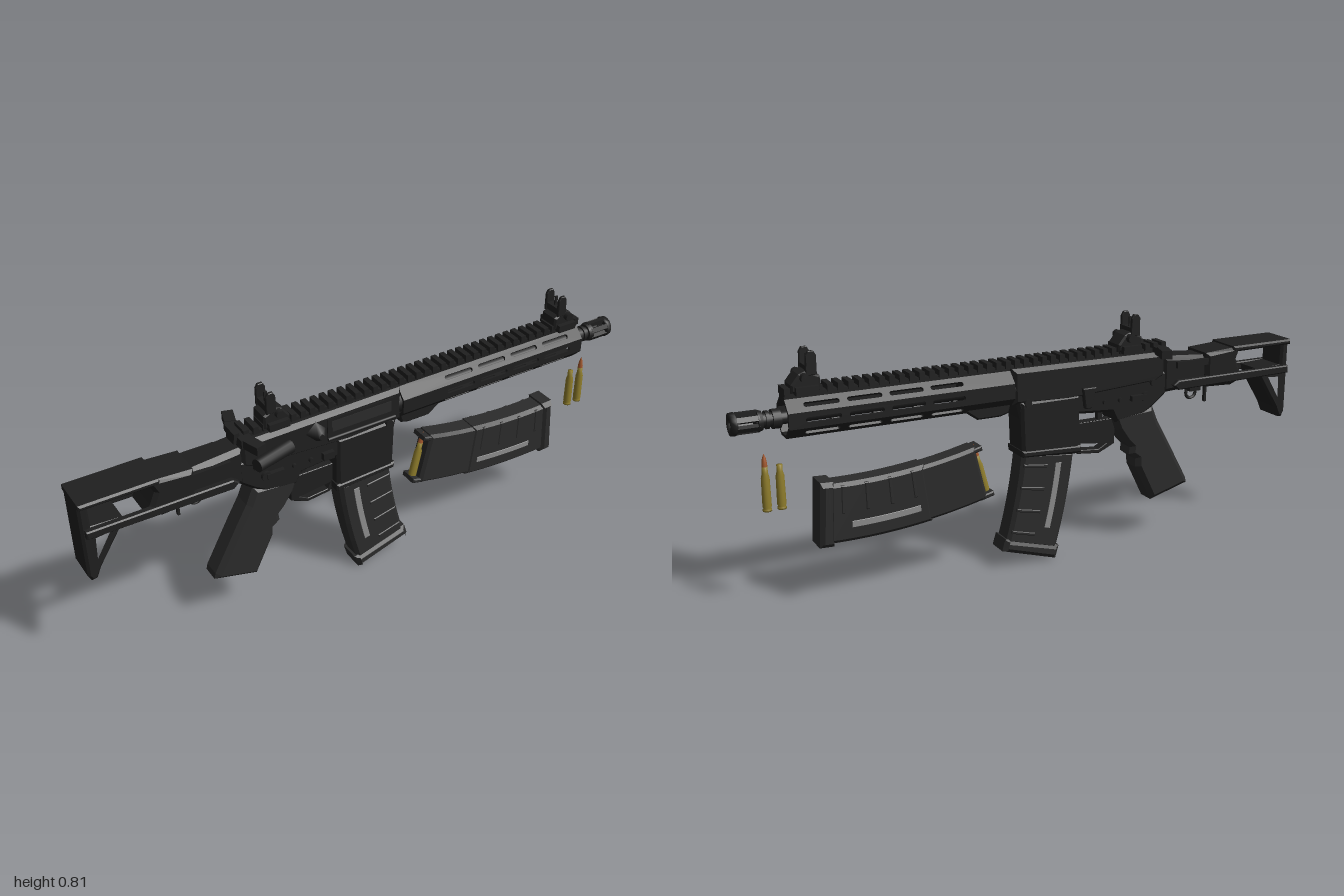
import * as THREE from 'three';

const mat = (color) => new THREE.MeshStandardMaterial({ color });
const METAL = mat(0x1f1f1f), POLY = mat(0x2b2b2b), WINDOW = mat(0x8c8c8c);
const BRASS = mat(0x8f7d2c), COPPER = mat(0xa0562c);
const AXIS_Y = 0.613; // bore height

const add = (parent, name, geo, material = METAL) => {
  const m = new THREE.Mesh(geo, material);
  m.name = name;
  parent.add(m);
  return m;
};
const toShape = (pts) => new THREE.Shape(pts.map(([x, y]) => new THREE.Vector2(x, y)));

// Side profile extruded symmetrically about z = cz, with chamfered edges
function plate(parent, name, pts, half, { bevel = 0.006, holes = [], cz = 0, material = METAL } = {}) {
  const s = toShape(pts);
  s.holes = holes.map(toShape);
  const g = new THREE.ExtrudeGeometry(s, {
    depth: 2 * (half - bevel), bevelEnabled: bevel > 0, bevelSize: bevel,
    bevelThickness: bevel, bevelOffset: -bevel, bevelSegments: 1,
  });
  g.translate(0, 0, cz - half + bevel);
  return add(parent, name, g, material);
}
function box(parent, name, x0, x1, y0, y1, z0, z1, material = METAL) {
  const g = new THREE.BoxGeometry(x1 - x0, y1 - y0, z1 - z0);
  g.translate((x0 + x1) / 2, (y0 + y1) / 2, (z0 + z1) / 2);
  return add(parent, name, g, material);
}
function rodX(parent, name, x0, x1, y, z, r0, r1 = r0, seg = 16) {
  const g = new THREE.CylinderGeometry(r1, r0, x1 - x0, seg);
  g.rotateZ(-Math.PI / 2).translate((x0 + x1) / 2, y, z);
  return add(parent, name, g);
}
function rodZ(parent, name, x, y, z0, z1, r, seg = 12) {
  const g = new THREE.CylinderGeometry(r, r, z1 - z0, seg);
  g.rotateX(Math.PI / 2).translate(x, y, (z0 + z1) / 2);
  return add(parent, name, g);
}
const lathe = (pts) => new THREE.LatheGeometry(pts.map(([r, y]) => new THREE.Vector2(r, y)), 14);

function cartridge(withTip) {
  const g = new THREE.Group();
  g.name = withTip ? 'cartridge' : 'emptyCase';
  add(g, 'case', lathe([[0, 0], [0.014, 0], [0.014, 0.006], [0.011, 0.009], [0.014, 0.014],
    [0.013, 0.105], [0.009, 0.12], [0.009, 0.14], [0, 0.14]]), BRASS);
  if (withTip) add(g, 'bullet', lathe([[0.009, 0.135], [0.0085, 0.148], [0.006, 0.165], [0, 0.182]]), COPPER);
  return g;
}

// Curved magazine: s runs down the arc, t runs rear to front
function magazine() {
  const g = new THREE.Group();
  g.name = 'magazine';
  const R = 1.85;
  const band = (s0, s1, t0, t1) => {
    const P = (s, t) => [R - (R - t) * Math.cos(s / R), -(R - t) * Math.sin(s / R)];
    const a = [], b = [];
    for (let i = 0; i <= 8; i++) {
      const s = s0 + (s1 - s0) * i / 8;
      a.push(P(s, t0));
      b.unshift(P(s, t1));
    }
    return [...a, ...b];
  };
  const part = (name, s0, s1, t0, t1, half, bevel, material = POLY) =>
    plate(g, name, band(s0, s1, t0, t1), half, { bevel, material });
  part('magBody', 0.01, 0.54, -0.093, 0.093, 0.038, 0.01);
  part('magSleeve', 0.2, 0.53, -0.097, 0.097, 0.042, 0.012);
  part('basePlate', 0.515, 0.56, -0.105, 0.105, 0.05, 0.014);
  part('window', 0.235, 0.46, -0.05, -0.029, 0.0435, 0.001, WINDOW);
  for (const s of [0.24, 0.32, 0.4, 0.48]) part('magRib', s, s + 0.012, 0.0, 0.09, 0.0445, 0.003);
  for (const t of [-0.085, 0.08]) part('feedLip', -0.015, 0.03, t - 0.008, t + 0.008, 0.034, 0.004);
  const c = cartridge(true);
  c.rotation.z = -Math.PI / 2;
  c.position.set(-0.09, 0, 0);
  g.add(c);
  return g;
}

// Octagonal handguard made of eight slotted panels
function handguard(parent) {
  const x0 = 0.1, x1 = 0.84, a = 0.06, w = a * Math.tan(Math.PI / 8);
  for (let i = 0; i < 8; i++) {
    const s = toShape([[x0, -w], [x1, -w], [x1, w], [x0, w]]);
    if (i !== 6) for (const x of [0.27, 0.405, 0.54, 0.675]) {
      const h = new THREE.Path();
      h.absarc(x + 0.105, 0, 0.008, -Math.PI / 2, Math.PI / 2);
      h.absarc(x + 0.01, 0, 0.008, Math.PI / 2, Math.PI * 1.5);
      h.closePath();
      s.holes.push(h);
    }
    const geo = new THREE.ExtrudeGeometry(s, { depth: 0.009, bevelEnabled: false, curveSegments: 5 });
    geo.translate(0, 0, a - 0.009);
    const m = add(parent, 'handguardPanel', geo);
    m.rotation.x = i * Math.PI / 4;
    m.position.y = AXIS_Y;
  }
  plate(parent, 'handguardClamp', [[0.1, 0.57], [0.11, 0.535], [0.14, 0.527], [0.22, 0.527], [0.26, 0.557], [0.26, 0.575]], 0.035);
  rodX(parent, 'barrelNut', 0.08, 0.26, AXIS_Y, 0, 0.048, 0.048, 8);
  rodX(parent, 'barrel', 0.1, 0.88, AXIS_Y, 0, 0.02);
}

function muzzle(parent) {
  for (const [x0, x1, r0, r1] of [[0.85, 0.875, 0.03, 0.03], [0.875, 0.925, 0.022, 0.022],
    [0.885, 0.895, 0.028, 0.028], [0.905, 0.92, 0.03, 0.034]])
    rodX(parent, 'muzzleCollar', x0, x1, AXIS_Y, 0, r0, r1);
  const pts = [[0.016, 0.98], [0.016, 1], [0.034, 1], [0.036, 0.985], [0.03, 0.98], [0.016, 0.98]];
  const ring = add(parent, 'muzzleRing', lathe(pts));
  ring.rotation.z = -Math.PI / 2;
  ring.position.y = AXIS_Y;
  ring.material = METAL.clone();
  ring.material.side = THREE.DoubleSide;
  for (let i = 0; i < 6; i++) {
    const prong = add(parent, 'muzzleProng', new THREE.BoxGeometry(0.07, 0.014, 0.016));
    const a = i * Math.PI / 3;
    prong.rotation.x = a;
    prong.position.set(0.95, AXIS_Y + 0.026 * Math.cos(a), 0.026 * Math.sin(a));
  }
}

function sight(parent, name, x) {
  const g = new THREE.Group();
  g.name = name;
  g.position.x = x;
  parent.add(g);
  plate(g, 'sightBase', [[-0.03, 0.69], [0.06, 0.69], [0.06, 0.715], [0.035, 0.745], [0.01, 0.755], [-0.03, 0.735]], 0.036);
  box(g, 'sightClamp', -0.02, 0.05, 0.685, 0.71, -0.052, 0.052);
  rodZ(g, 'sightPivot', 0.02, 0.735, -0.055, 0.052, 0.014);
  box(g, 'sightBridge', -0.018, 0.012, 0.745, 0.768, -0.038, 0.038);
  for (const k of [1, -1])
    plate(g, 'sightEar', [[-0.02, 0.74], [0.014, 0.74], [0.012, 0.8], [0.004, 0.813], [-0.012, 0.813], [-0.02, 0.8]],
      0.006, { cz: k * 0.032, bevel: 0.002 });
  box(g, 'sightPost', -0.008, 0.002, 0.76, 0.8, -0.003, 0.003);
}

function stock(parent) {
  plate(parent, 'buttPlate', [[-1, 0.665], [-0.97, 0.665], [-0.968, 0.575], [-0.87, 0.57], [-0.875, 0.545],
    [-0.955, 0.42], [-0.972, 0.382], [-0.99, 0.38], [-1, 0.4]], 0.056,
  { bevel: 0.008, holes: [[[-0.968, 0.54], [-0.905, 0.543], [-0.962, 0.445], [-0.972, 0.455]]] });
  plate(parent, 'stockTop', [[-1, 0.668], [-0.75, 0.668], [-0.75, 0.648], [-1, 0.65]], 0.068);
  plate(parent, 'stockBlock', [[-0.785, 0.664], [-0.64, 0.655], [-0.64, 0.535], [-0.75, 0.53], [-0.8, 0.55],
    [-0.785, 0.58], [-0.768, 0.62]], 0.066, { bevel: 0.012 });
  plate(parent, 'bufferHousing', [[-0.66, 0.645], [-0.47, 0.66], [-0.47, 0.53], [-0.66, 0.54]], 0.05, { bevel: 0.015 });
  for (const k of [1, -1]) {
    plate(parent, 'stockRail', [[-0.99, 0.575], [-0.52, 0.575], [-0.5, 0.56], [-0.52, 0.542], [-0.99, 0.548]], 0.012, { cz: k * 0.062, bevel: 0.004 });
    box(parent, 'upperRail', -0.68, -0.52, 0.615, 0.637, k > 0 ? 0.046 : -0.062, k > 0 ? 0.062 : -0.046);
  }
  box(parent, 'stockPin', -0.684, -0.676, 0.465, 0.54, -0.006, 0.006);
  box(parent, 'slingMount', -0.645, -0.6, 0.515, 0.545, -0.025, 0.025);
  const loop = add(parent, 'slingLoop', new THREE.TorusGeometry(0.02, 0.006, 6, 12));
  loop.position.set(-0.62, 0.505, 0);
}

function receiver(parent) {
  plate(parent, 'upperReceiver', [[-0.48, 0.675], [0.1, 0.68], [0.1, 0.56], [-0.1, 0.55], [-0.44, 0.57], [-0.48, 0.59]], 0.05, { bevel: 0.014 });
  plate(parent, 'lowerReceiver', [[-0.49, 0.61], [-0.49, 0.53], [-0.44, 0.49], [-0.4, 0.465], [-0.29, 0.45],
    [-0.27, 0.49], [-0.14, 0.5], [0.07, 0.5], [0.09, 0.58], [0.05, 0.61]], 0.046, { bevel: 0.01 });
  plate(parent, 'magWell', [[-0.145, 0.57], [-0.145, 0.375], [-0.13, 0.365], [0.05, 0.38], [0.068, 0.39], [0.075, 0.57]], 0.053, { bevel: 0.01 });
  plate(parent, 'magWellLip', [[-0.15, 0.395], [-0.15, 0.37], [0.07, 0.383], [0.072, 0.405]], 0.057);
  plate(parent, 'triggerGuard', [[-0.3, 0.46], [-0.3, 0.37], [-0.24, 0.343], [-0.155, 0.352], [-0.135, 0.39], [-0.135, 0.46]], 0.018,
    { bevel: 0.002, holes: [[[-0.285, 0.458], [-0.285, 0.383], [-0.238, 0.357], [-0.163, 0.364], [-0.147, 0.395], [-0.147, 0.458]]] });
  plate(parent, 'trigger', [[-0.26, 0.5], [-0.235, 0.5], [-0.238, 0.44], [-0.222, 0.395], [-0.232, 0.392], [-0.252, 0.43]], 0.009, { bevel: 0.002 });
  plate(parent, 'grip', [[-0.44, 0.49], [-0.28, 0.475], [-0.3, 0.42], [-0.335, 0.37], [-0.355, 0.35], [-0.352, 0.325],
    [-0.378, 0.305], [-0.38, 0.275], [-0.435, 0.165], [-0.445, 0.145], [-0.595, 0.185], [-0.59, 0.205],
    [-0.505, 0.36], [-0.465, 0.43]], 0.045, { bevel: 0.016, material: POLY });
  // Controls and ejection port
  box(parent, 'ejectionFrame', -0.18, 0.07, 0.587, 0.66, 0.045, 0.054);
  box(parent, 'bolt', -0.165, 0.055, 0.612, 0.65, 0.05, 0.056, POLY);
  rodX(parent, 'portHinge', -0.18, 0.07, 0.587, 0.055, 0.006, 0.006, 8);
  const deflector = new THREE.CylinderGeometry(0.012, 0.04, 0.045, 4);
  deflector.rotateX(Math.PI / 2).translate(-0.22, 0.63, 0.065);
  add(parent, 'caseDeflector', deflector);
  const assist = rodX(parent, 'forwardAssist', -0.07, 0.07, 0, 0, 0.022, 0.024, 12);
  assist.position.set(-0.38, 0.61, 0.068);
  assist.rotation.y = 0.28;
  box(parent, 'chargingHandle', -0.48, -0.44, 0.668, 0.694, -0.06, 0.06);
  for (const k of [1, -1]) {
    const latch = box(parent, 'chargingLatch', -0.018, 0.018, 0.667, 0.696, -0.03, 0.03);
    latch.position.set(-0.45, 0, k * 0.084);
    latch.rotation.y = k * 0.3;
    box(parent, 'selector', -0.4, -0.34, 0.522, 0.54, k * 0.054 - 0.008, k * 0.054 + 0.008);
    for (const [x, y, r] of [[-0.4, 0.53, 0.017], [-0.43, 0.575, 0.012], [0.05, 0.565, 0.013], [-0.24, 0.53, 0.008], [-0.3, 0.53, 0.008]])
      rodZ(parent, 'pin', x, y, k * 0.05 - 0.007, k * 0.05 + 0.007, r);
  }
  box(parent, 'magRelease', -0.2, -0.16, 0.515, 0.54, 0.045, 0.062);
  plate(parent, 'boltCatch', [[-0.2, 0.59], [-0.15, 0.59], [-0.16, 0.52], [-0.185, 0.52]], 0.01, { cz: -0.053, bevel: 0.003 });
}

export function createModel() {
  const root = new THREE.Group();
  root.name = 'rifleSet';
  const g = new THREE.Group();
  g.name = 'rifle';
  g.position.z = -0.007;
  root.add(g);

  receiver(g);
  handguard(g);
  muzzle(g);
  stock(g);
  sight(g, 'rearSight', -0.36);
  sight(g, 'frontSight', 0.76);

  // Toothed top rail
  box(g, 'railBase', -0.49, 0.84, 0.665, 0.688, -0.024, 0.024);
  for (let i = 0; i < 41; i++) {
    const x = -0.49 + i * 0.0328;
    box(g, 'railTooth', x, x + 0.018, 0.682, 0.706, -0.031, 0.031);
  }

  // Fitted and loose magazines
  const fitted = magazine();
  fitted.position.set(-0.045, 0.583, 0);
  const loose = magazine();
  loose.name = 'spareMagazine';
  loose.position.set(0.2, 0.35, 0);
  loose.rotation.z = THREE.MathUtils.degToRad(76);
  const empty = cartridge(false), full = cartridge(true);
  empty.position.set(0.86, 0.33, 0);
  full.position.set(0.905, 0.33, 0);
  g.add(fitted, loose, empty, full);
  return root;
}
